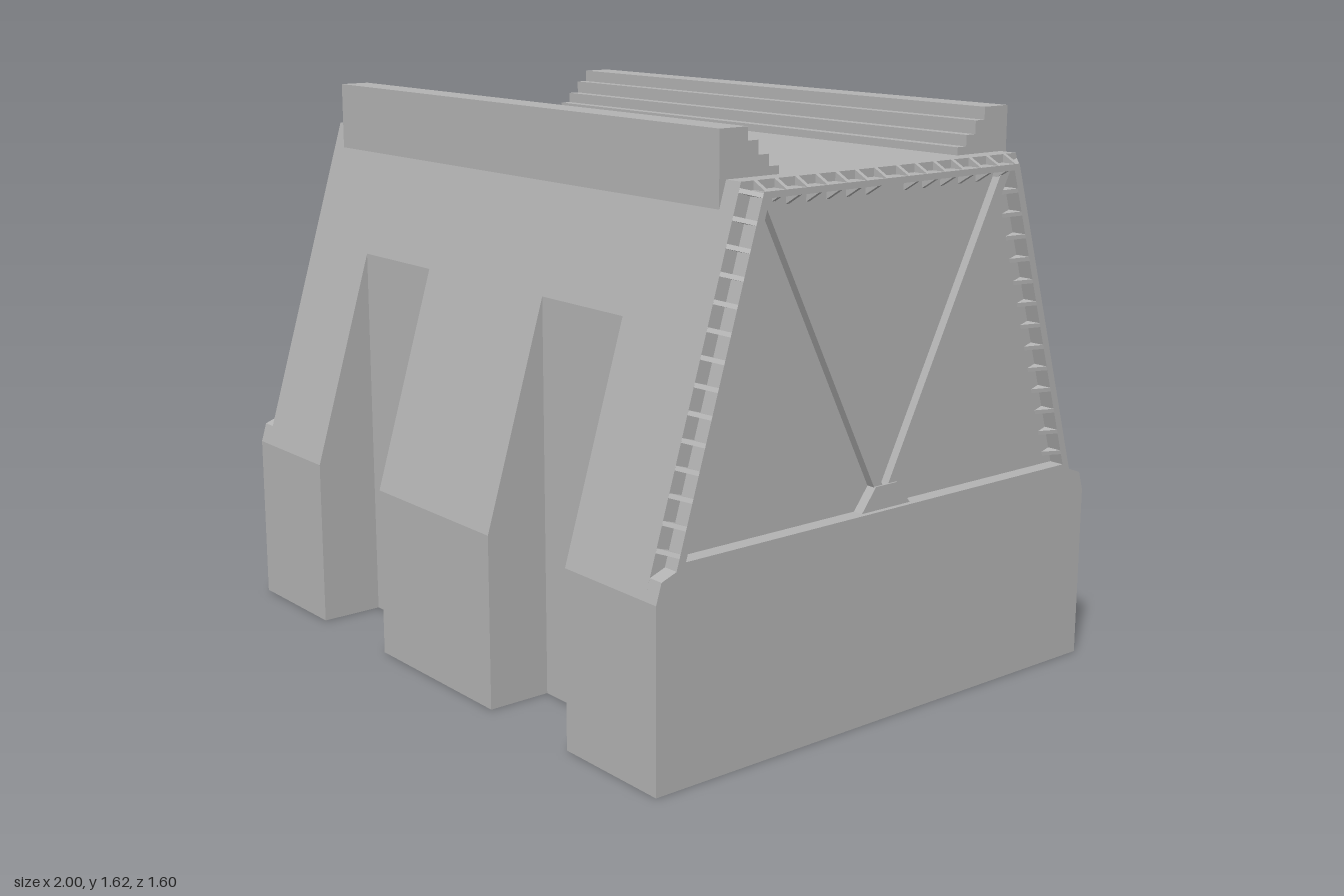
import * as THREE from 'three';
import { mergeGeometries } from 'three/addons/utils/BufferGeometryUtils.js';

const concrete = new THREE.MeshStandardMaterial({ color: 0xb2b2b2 });
concrete.name = 'concrete grey';

const FACE = 0.955; // x of the recessed end walls
const slopeZ = (y) => 0.8 - Math.max(0, y - 0.5) * 0.3; // outer face of the battered wall

function part(name, geometry) {
  const mesh = new THREE.Mesh(geometry, concrete);
  mesh.name = name;
  return mesh;
}

const toShape = (points) => new THREE.Shape(points.map(([a, b]) => new THREE.Vector2(a, b)));
const mirrored = (half) => [...half, ...half.map(([z, y]) => [-z, y]).reverse()];

// Profile of [z, y] points extruded along x from x0 to x1
function slab(points, x0, x1) {
  const shape = toShape(points.map(([z, y]) => [-z, y]));
  return new THREE.ExtrudeGeometry(shape, { depth: x1 - x0, bevelEnabled: false })
    .rotateY(Math.PI / 2)
    .translate(x0, 0, 0);
}

// Notched footprint raised through four levels, cut back to the sloping walls
function bodyGeometry() {
  const front = [[FACE, 0.8], [0.63, 0.8], [0.63, 0.61], [0.28, 0.61], [0.28, 0.8]];
  const half = [...front, ...front.map(([x, z]) => [-x, z]).reverse()];
  const outline = [...half, ...half.map(([x, z]) => [x, -z]).reverse()];
  const geo = new THREE.ExtrudeGeometry(toShape(outline), { depth: 3, steps: 3, bevelEnabled: false });
  geo.rotateX(-Math.PI / 2);
  const levels = [0, 0.5, 0.5 + 0.19 / 0.3, 1.5];
  const pos = geo.attributes.position;
  for (let i = 0; i < pos.count; i++) {
    const y = levels[Math.round(pos.getY(i))];
    const z = pos.getZ(i);
    pos.setY(i, y);
    pos.setZ(i, Math.sign(z) * Math.min(Math.abs(z), slopeZ(y)));
  }
  geo.computeVertexNormals();
  return geo;
}

// Triangular stiffener standing on the end wall, tapering away from the beam along (dz, dy)
function stiffener(z, y, dz, dy, length) {
  const thick = 0.012;
  const geo = new THREE.ExtrudeGeometry(toShape([[0, 0], [length, 0], [0, 1 - FACE]]), {
    depth: thick, bevelEnabled: false,
  });
  geo.translate(0, 0, -thick / 2);
  const basis = new THREE.Matrix4().makeBasis(
    new THREE.Vector3(0, dy, dz), new THREE.Vector3(1, 0, 0), new THREE.Vector3(0, dz, -dy));
  return geo.applyMatrix4(basis.setPosition(FACE, y, z));
}

function createEnd() {
  const end = new THREE.Group();

  // Base ledge below the recessed wall
  end.add(part('baseLedge', slab(
    mirrored([[0.8, 0], [0.8, 0.5], [0.783, 0.556], [0.737, 0.573], [0.709, 0.592]]), FACE, 1)));

  // Raised beam along both slopes and the top
  const outer = (y) => slopeZ(y) - 0.042;
  const inner = (y) => slopeZ(y) - 0.066;
  const outerPath = mirrored([[outer(0.573), 0.573], [outer(1.477), 1.477]]);
  const innerPath = mirrored([[inner(0.592), 0.592], [inner(1.46), 1.46]]).reverse();
  end.add(part('edgeBeam', slab([...outerPath, ...innerPath], FACE, 1)));

  // Stiffeners on both sides of the beam
  const ribs = [];
  const nz = 0.958, ny = 0.287;
  for (const s of [-1, 1]) {
    for (let k = 0; k < 14; k++) {
      const y = 0.61 + 0.066 * k;
      ribs.push(stiffener(s * outer(y), y, s * nz, ny, 0.04));
    }
    for (let k = 0; k < 13; k++) {
      const y = 0.63 + 0.0645 * k;
      ribs.push(stiffener(s * inner(y), y, -s * nz, -ny, 0.03));
    }
    for (let k = 0; k < 7; k++) ribs.push(stiffener(s * (0.04 + 0.069 * k), 1.477, 0, 1, 0.023));
    for (let k = 0; k < 6; k++) ribs.push(stiffener(s * (0.07 + 0.069 * k), 1.46, 0, -1, 0.027));
    // Diagonal brace
    end.add(part('diagonalBrace', slab(
      [[s * 0.042, 0.655], [s * 0.01, 0.655], [s * 0.418, 1.46], [s * 0.452, 1.46]], FACE, 0.98)));
  }
  end.add(part('beamStiffeners', mergeGeometries(ribs)));

  // Foot plate where the braces meet
  end.add(part('braceFoot', slab(mirrored([[0.09, 0.592], [0.04, 0.657]]), FACE, 0.985)));
  return end;
}

export function createModel() {
  const model = new THREE.Group();
  model.name = 'fortifiedPier';
  model.add(part('body', bodyGeometry()));

  // Trussed ends
  for (const [name, turn] of [['leftEnd', 0], ['rightEnd', Math.PI]]) {
    const end = createEnd();
    end.name = name;
    end.rotation.y = turn;
    model.add(end);
  }

  // Stepped parapets along the front and back of the roof
  const steps = [
    [0.522, 1.428], [0.522, 1.625], [0.43, 1.625], [0.43, 1.59], [0.395, 1.59], [0.395, 1.553],
    [0.36, 1.553], [0.36, 1.522], [0.326, 1.522], [0.326, 1.495], [0.49, 1.495],
  ];
  for (const [name, s] of [['frontParapet', 1], ['backParapet', -1]]) {
    model.add(part(name, slab(steps.map(([z, y]) => [s * z, y]), -0.9, 0.9)));
  }
  return model;
}
